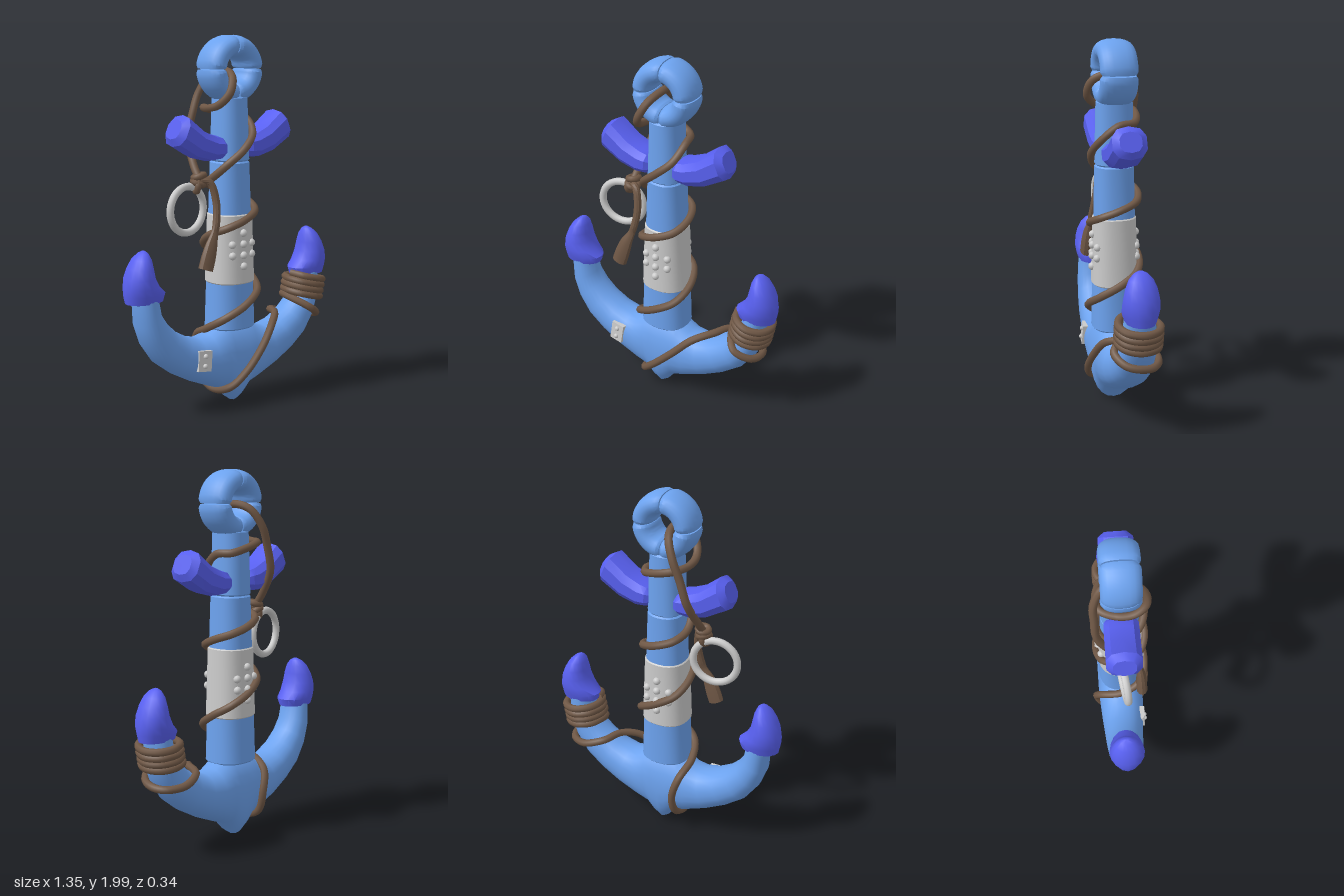
import * as THREE from 'three';
import { toCreasedNormals } from 'three/addons/utils/BufferGeometryUtils.js';

const V = (x, y, z = 0) => new THREE.Vector3(x, y, z);
const mat = (color) => new THREE.MeshStandardMaterial({ color });
const X = V(1, 0, 0), Z = V(0, 0, 1);
const pw = (t, p) => Math.sign(t) * Math.abs(t) ** p;

// Rounded cross-section: centre c, half axes a along u and b along v
function section(c, u, v, a, b, n = 20, p = 0.85) {
  return Array.from({ length: n }, (_, i) => {
    const t = (i / n) * Math.PI * 2;
    return c.clone().addScaledVector(u, a * pw(Math.cos(t), p)).addScaledVector(v, b * pw(Math.sin(t), p));
  });
}

// Skin a row of cross-sections, cap both ends and face outwards
function loft(rings, crease = 0.6) {
  const n = rings[0].length, pos = [];
  const centre = (r) => r.reduce((s, q) => s.add(q), V(0, 0)).divideScalar(n);
  const tris = [];
  for (let k = 0; k < rings.length - 1; k++)
    for (let i = 0; i < n; i++) {
      const j = (i + 1) % n, A = rings[k], B = rings[k + 1];
      tris.push([A[i], A[j], B[j]], [A[i], B[j], B[i]]);
    }
  const first = rings[0], last = rings[rings.length - 1], c0 = centre(first), c1 = centre(last);
  for (let i = 0; i < n; i++) {
    const j = (i + 1) % n;
    tris.push([c0, first[j], first[i]], [c1, last[i], last[j]]);
  }
  let volume = 0;
  for (const [a, b, c] of tris) volume += a.dot(b.clone().cross(c));
  for (const [a, b, c] of tris)
    for (const q of volume > 0 ? [a, b, c] : [a, c, b]) pos.push(q.x, q.y, q.z);
  const g = new THREE.BufferGeometry();
  g.setAttribute('position', new THREE.Float32BufferAttribute(pos, 3));
  return toCreasedNormals(g, crease);
}

export function createModel() {
  const group = new THREE.Group();
  const blue = mat(0x6ca2ee), violet = mat(0x5860f0), brown = mat(0x705846), grey = mat(0xcccccc);
  const add = (name, geometry, material, parent = group) => {
    const m = new THREE.Mesh(geometry, material);
    m.name = name;
    parent.add(m);
    return m;
  };

  // Tapered shaft in bevelled lengths, with a metal band
  const halfX = (y) => 0.135 - 0.05 * (y - 0.43) / 1.24;
  const halfZ = (y) => 0.123 - 0.026 * (y - 0.43) / 1.24;
  const shaftPart = (name, y0, y1, material, grow = 0) => {
    const rows = [[y0, -0.008], [y0 + 0.008, 0], [y1 - 0.008, 0], [y1, -0.008]];
    add(name, loft(rows.map(([y, d]) =>
      section(V(0, y), X, Z, halfX(y) + d + grow, halfZ(y) + d + grow, 24))), material);
  };
  shaftPart('lowerShaft', 0.43, 0.7, blue);
  shaftPart('shaftBand', 0.68, 1.06, grey, 0.006);
  shaftPart('middleShaft', 1.04, 1.338, blue);
  shaftPart('upperShaft', 1.338, 1.68, blue);

  // Rivets on both faces of the band
  const rivet = new THREE.SphereGeometry(0.021, 12, 8);
  const spots = [[0, 0.96], [0, 0.9], [0, 0.84], [0, 0.78]];
  for (const s of [-1, 1]) spots.push([0.065 * s, 0.9], [0.065 * s, 0.84]);
  for (const side of [-1, 1])
    for (const [x, y] of spots) {
      const z = halfZ(y) * Math.sqrt(1 - (x / halfX(y)) ** 2) + (x ? 0.012 : 0.006);
      add('bandRivet', rivet, grey).position.set(x, y, side * z);
    }

  // Top ring in four quarters
  for (let q = 0; q < 4; q++) {
    const rings = [];
    for (let i = 0; i <= 12; i++) {
      const a = q * Math.PI / 2 + 0.02 + (i / 12) * (Math.PI / 2 - 0.04);
      const dir = V(Math.cos(a), Math.sin(a));
      const k = i === 0 || i === 12 ? 0.9 : 1;
      rings.push(section(dir.clone().multiplyScalar(0.121).add(V(0, 1.822)), dir, Z, 0.057 * k, 0.1 * k));
    }
    add('ringQuarter', loft(rings), blue);
  }

  // Curved arms: outer x, outer y, inner x, inner y, half depth
  const half = [
    [0, 0.008, 0, 0.47, 0.13], [0.03, 0.03, 0.06, 0.47, 0.13], [0.07, 0.085, 0.11, 0.45, 0.13],
    [0.15, 0.115, 0.16, 0.415, 0.126], [0.28, 0.17, 0.22, 0.4, 0.12], [0.4, 0.235, 0.3, 0.42, 0.112],
    [0.5, 0.31, 0.38, 0.465, 0.105], [0.57, 0.41, 0.44, 0.52, 0.098], [0.61, 0.52, 0.48, 0.58, 0.09],
    [0.62, 0.67, 0.5, 0.69, 0.08]];
  const mirrored = half.slice(1).reverse().map(([a, b, c, d, e]) => [-a, b, -c, d, e]);
  add('arms', loft([...mirrored, ...half].map(([ox, oy, ix, iy, hz]) => {
    const o = V(ox, oy), i = V(ix, iy), u = i.clone().sub(o);
    return section(o.clone().lerp(i, 0.5), u.clone().normalize(), Z, u.length() / 2, hz, 24, 0.92);
  }), 0.7), blue);

  for (const s of [-1, 1]) {
    // Arm tips: y, inner x, outer x, half depth
    const tip = [[0.645, 0.49, 0.65, 0.06], [0.65, 0.455, 0.67, 0.078], [0.69, 0.445, 0.677, 0.092],
      [0.73, 0.485, 0.677, 0.097], [0.78, 0.512, 0.668, 0.094], [0.83, 0.522, 0.648, 0.083],
      [0.875, 0.53, 0.622, 0.064], [0.905, 0.543, 0.592, 0.036], [0.917, 0.556, 0.57, 0.012]];
    add(s > 0 ? 'leftArmTip' : 'rightArmTip', loft(tip.map(([y, x0, x1, hz]) =>
      section(V(s * (x0 + x1) / 2, y), X, Z, (x1 - x0) / 2, hz, 16, 1)), 0.9), violet);

    // Crossbar halves: bottom x, y, top x, y, half depth
    const bar = [[0.07, 1.36, 0.07, 1.46, 0.075], [0.1, 1.35, 0.09, 1.475, 0.092], [0.16, 1.345, 0.13, 1.485, 0.094],
      [0.26, 1.37, 0.21, 1.52, 0.094], [0.375, 1.435, 0.305, 1.595, 0.094], [0.388, 1.475, 0.345, 1.575, 0.06]];
    add(s > 0 ? 'leftCrossbar' : 'rightCrossbar', loft(bar.map(([bx, by, tx, ty, hz]) => {
      const b = V(s * bx, by), t = V(s * tx, ty), u = t.clone().sub(b);
      return section(b.clone().lerp(t, 0.5), u.clone().normalize(), Z, u.length() / 2, hz, 10, 0.8);
    }), 0.5), violet);
  }

  // Small riveted plate on the right arm
  const plate = new THREE.Group();
  plate.name = 'armPlate';
  plate.position.set(-0.262, 0.303, 0.112);
  plate.rotation.set(-0.08, -0.1, -0.12);
  group.add(plate);
  add('plate', new THREE.BoxGeometry(0.08, 0.11, 0.03), grey, plate);
  for (const y of [-0.026, 0.026])
    add('plateRivet', new THREE.SphereGeometry(0.014, 10, 8), grey, plate).position.set(0, y, 0.015);

  // Rope: hanging strand, through the ring, down the shaft, round the arm
  const path = [V(-0.21, 1.25, 0.01), V(-0.205, 1.33, -0.05), V(-0.18, 1.46, -0.125), V(-0.14, 1.6, -0.135),
    V(-0.1, 1.7, -0.135), V(-0.055, 1.79, -0.09), V(-0.035, 1.815, 0), V(-0.06, 1.78, 0.1),
    V(-0.1, 1.7, 0.125), V(-0.13, 1.64, 0.07), V(-0.13, 1.62, -0.02), V(-0.08, 1.615, -0.115)];
  const turns = [1.6, 1.56, 1.25, 1.11, 0.95, 0.7, 0.44];
  for (let i = 3; i <= 24; i++) {
    const t = i / 4, k = Math.min(Math.floor(t), 5);
    const y = THREE.MathUtils.lerp(turns[k], turns[k + 1], t - k), a = (t - 1) * Math.PI;
    path.push(V((halfX(y) + 0.02) * pw(Math.cos(a), 0.85), y, (halfZ(y) + 0.02) * pw(Math.sin(a), 0.85)));
  }
  path.push(V(-0.135, 0.37, -0.125), V(-0.105, 0.25, -0.145), V(-0.11, 0.14, -0.11), V(-0.115, 0.093, 0),
    V(-0.085, 0.12, 0.11), V(0, 0.2, 0.147), V(0.12, 0.32, 0.14), V(0.22, 0.42, 0.1), V(0.31, 0.455, 0.02),
    V(0.37, 0.445, -0.09), V(0.48, 0.41, -0.12), V(0.57, 0.4, -0.075), V(0.595, 0.405, 0),
    V(0.57, 0.425, 0.08), V(0.49, 0.475, 0.118));
  for (let i = 0; i <= 32; i++) {
    const t = i / 32, a = Math.PI * (1 + t * 8), r = 0.1 * Math.cos(a);
    path.push(V(0.525 + 0.025 * t + r, 0.51 + 0.13 * t - 0.2 * r, 0.11 * Math.sin(a)));
  }
  const rope = new THREE.CatmullRomCurve3(path, false, 'centripetal');
  add('rope', new THREE.TubeGeometry(rope, 500, 0.021, 8), brown);

  // Loose rope end that flares out
  const tail = new THREE.CatmullRomCurve3([V(-0.21, 1.25, 0.02), V(-0.17, 1.24, 0.045), V(-0.145, 1.13, 0.07),
    V(-0.165, 1, 0.09), V(-0.2, 0.92, 0.1), V(-0.245, 0.79, 0.105)]);
  const tailRings = [];
  for (let i = 0; i <= 24; i++) {
    const t = i / 24, dir = tail.getTangent(t), u = dir.clone().cross(Z).normalize();
    const r = 0.02 + 0.024 * THREE.MathUtils.smoothstep(t, 0.6, 0.95);
    tailRings.push(section(tail.getPoint(t), u, u.clone().cross(dir), r, t > 0.6 ? r * 0.7 : r, 10, 1));
  }
  add('ropeEnd', loft(tailRings), brown);

  // Knot and the metal ring tied to it
  for (const [x, y, rx, ry] of [[-0.21, 1.27, 1.4, 0.2], [-0.215, 1.235, 1.8, -0.3], [-0.225, 1.22, 0.3, 1.2]]) {
    const loop = add('knotLoop', new THREE.TorusGeometry(0.028, 0.018, 8, 20), brown);
    loop.position.set(x, y, 0.005);
    loop.rotation.set(rx, ry, 0);
  }
  const hoop = add('hangingRing', new THREE.TorusGeometry(0.122, 0.02, 10, 40), grey);
  hoop.position.set(-0.285, 1.1, 0);
  hoop.rotation.y = 0.15;

  return group;
}
